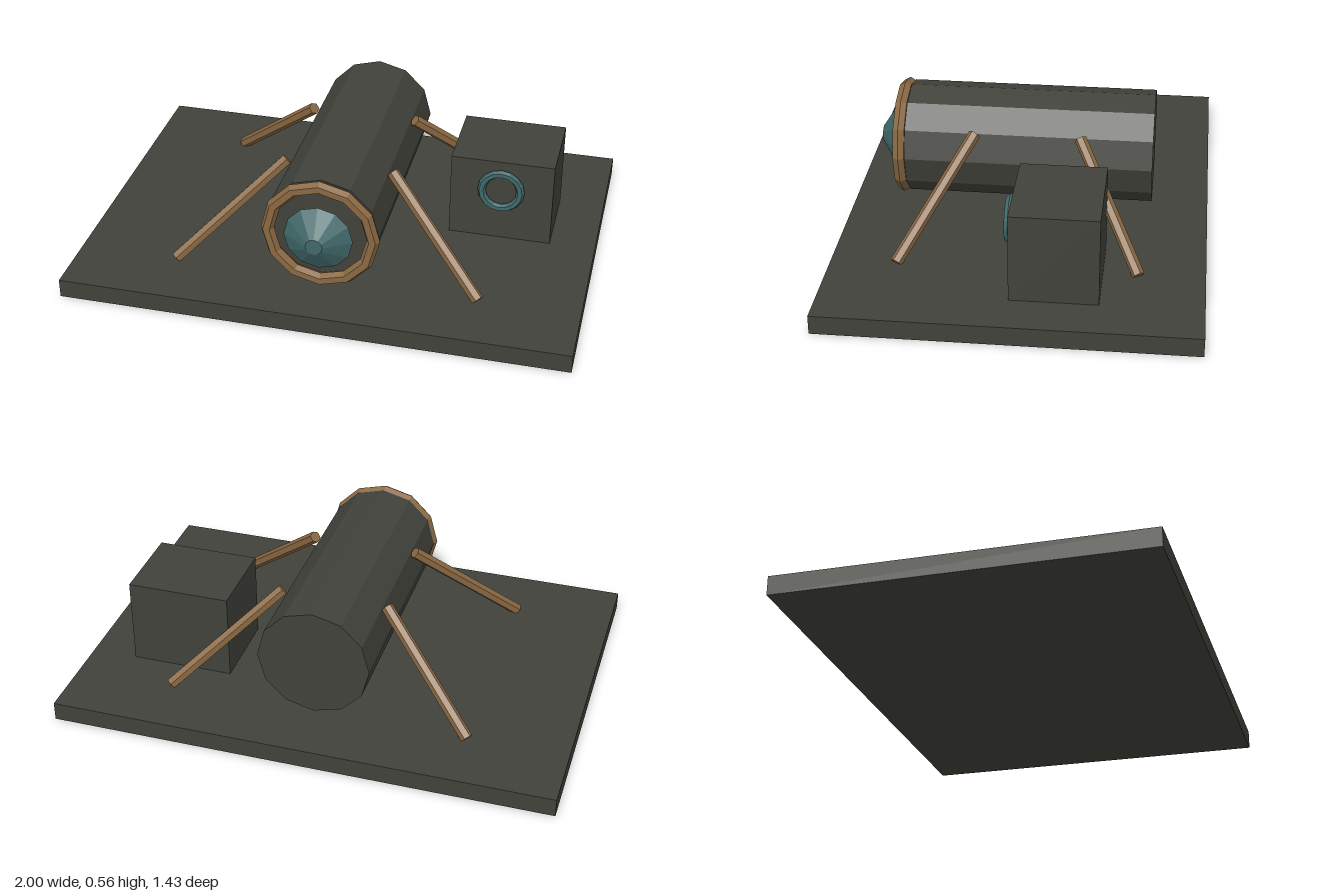
import * as THREE from 'three';

export function createModel() {
  const model = new THREE.Group();
  model.name = 'mountedCylinderDevice';

  const material = (name, color) => {
    const m = new THREE.MeshStandardMaterial({ color, flatShading: true });
    m.name = name;
    return m;
  };
  const darkMetal = material('darkMetal', 0x41423b);
  const bronze = material('bronze', 0x8a6842);
  const teal = material('tealGlass', 0x40686a);

  const add = (name, geometry, mat, x, y, z) => {
    const mesh = new THREE.Mesh(geometry, mat);
    mesh.name = name;
    mesh.position.set(x, y, z);
    model.add(mesh);
    return mesh;
  };

  // Base plate
  add('basePlate', new THREE.BoxGeometry(2, 0.075, 1.43), darkMetal, 0, 0.0375, 0);

  // Horizontal barrel
  const axisY = 0.322;
  add('barrel', new THREE.CylinderGeometry(0.224, 0.224, 0.98, 12).rotateX(Math.PI / 2),
    darkMetal, 0, axisY, 0);

  // Rim and faceted lens at the front of the barrel
  add('barrelRim', new THREE.TorusGeometry(0.207, 0.026, 6, 12), bronze, 0, axisY, 0.515);
  add('lens', new THREE.CylinderGeometry(0.033, 0.135, 0.065, 12).rotateX(Math.PI / 2),
    teal, 0, axisY, 0.578);

  // Four slanted struts from the barrel down to the plate
  const up = new THREE.Vector3(0, 1, 0);
  for (const sx of [-1, 1]) {
    for (const sz of [-1, 1]) {
      const top = new THREE.Vector3(0.213 * sx, 0.443, 0.208 * sz);
      const foot = new THREE.Vector3(0.605 * sx, 0.079, 0.462 * sz);
      const along = top.clone().sub(foot);
      const mid = top.clone().add(foot).multiplyScalar(0.5);
      const strut = add((sz > 0 ? 'front' : 'back') + (sx > 0 ? 'Left' : 'Right') + 'Strut',
        new THREE.CylinderGeometry(0.024, 0.024, along.length(), 6), bronze, mid.x, mid.y, mid.z);
      strut.quaternion.setFromUnitVectors(up, along.normalize());
    }
  }

  // Control box with a ring dial
  add('controlBox', new THREE.BoxGeometry(0.412, 0.352, 0.335), darkMetal, 0.612, 0.25, -0.16);
  add('dialRing', new THREE.TorusGeometry(0.078, 0.0165, 6, 16), teal, 0.612, 0.303, 0.022);

  return model;
}
